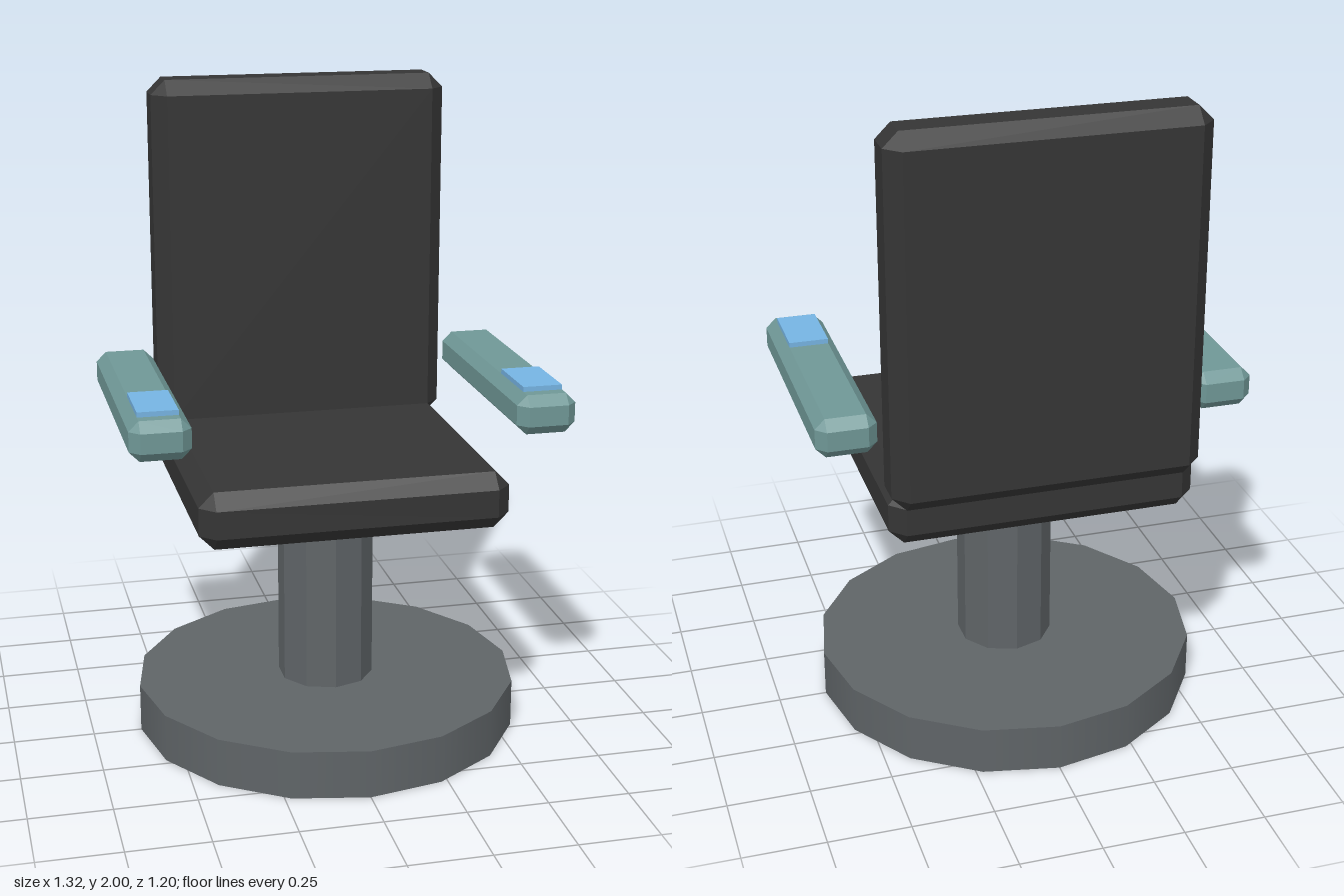
import * as THREE from 'three';
import { ConvexGeometry } from 'three/addons/geometries/ConvexGeometry.js';

// Box with every edge cut at 45 degrees by c
function chamferBox(w, h, d, c) {
  const half = [w / 2, h / 2, d / 2];
  const points = [];
  for (const sx of [-1, 1]) for (const sy of [-1, 1]) for (const sz of [-1, 1]) {
    for (let axis = 0; axis < 3; axis++) {
      const [x, y, z] = half.map((v, i) => (i === axis ? v : v - c));
      points.push(new THREE.Vector3(sx * x, sy * y, sz * z));
    }
  }
  return new ConvexGeometry(points);
}

export function createModel() {
  const chair = new THREE.Group();
  chair.name = 'swivelChair';

  const metalSmooth = new THREE.MeshStandardMaterial({ color: 0x5f6467 });
  const metal = new THREE.MeshStandardMaterial({ color: 0x5f6467, flatShading: true });
  const leather = new THREE.MeshStandardMaterial({ color: 0x353535, flatShading: true });
  const teal = new THREE.MeshStandardMaterial({ color: 0x6f9796, flatShading: true });
  const blue = new THREE.MeshStandardMaterial({ color: 0x76b4e3, flatShading: true });

  const add = (name, geometry, material, x, y, z) => {
    const mesh = new THREE.Mesh(geometry, material);
    mesh.name = name;
    mesh.position.set(x, y, z);
    chair.add(mesh);
  };

  // Round foot and column
  add('base', new THREE.CylinderGeometry(0.6, 0.6, 0.15, 16), metalSmooth, 0, 0.075, 0);
  add('column', new THREE.CylinderGeometry(0.15, 0.15, 0.62, 10), metal, 0, 0.45, 0);

  // Cushions
  add('seat', chamferBox(0.934, 0.175, 0.9, 0.045), leather, 0, 0.8325, 0);
  add('backrest', chamferBox(0.934, 1.125, 0.178, 0.045), leather, 0, 1.4375, -0.409);

  // Armrests with control pads
  for (const [side, s] of [['left', 1], ['right', -1]]) {
    add(side + 'Armrest', chamferBox(0.18, 0.12, 0.83, 0.03), teal, s * 0.572, 1.09, 0.027);
    add(side + 'ControlPad', new THREE.BoxGeometry(0.12, 0.04, 0.208), blue, s * 0.572, 1.145, 0.272);
  }
  return chair;
}
